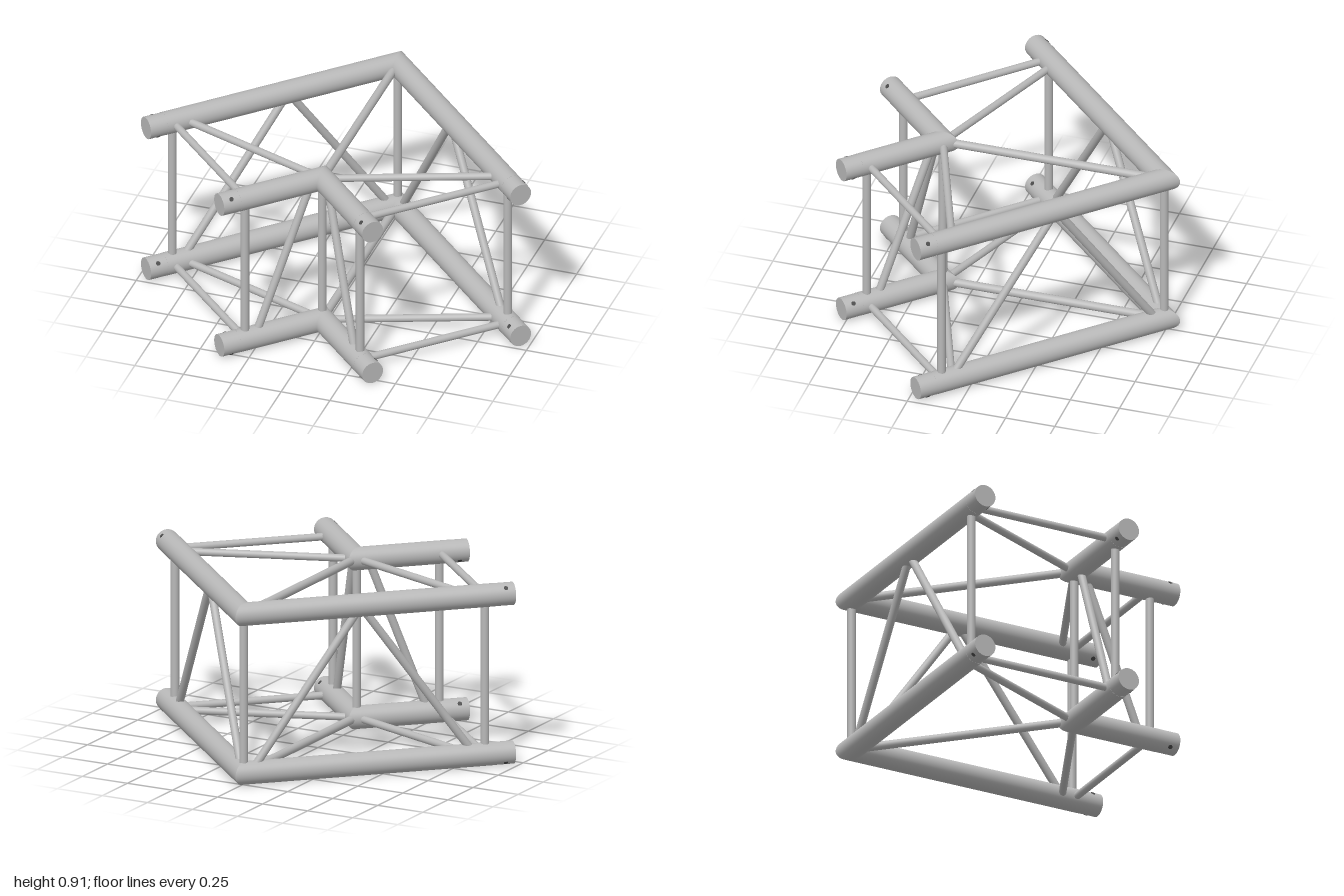
import * as THREE from 'three';

const R = 0.057;              // chord radius
const LOW = 0.057, HIGH = 0.857; // chord axis heights
const UP = new THREE.Vector3(0, 1, 0);

export function createModel() {
  const group = new THREE.Group();
  const metal = new THREE.MeshStandardMaterial({ color: 0xb8b8b8 });
  metal.name = 'aluminium';
  const dark = new THREE.MeshStandardMaterial({ color: 0x4a4a4a });
  dark.name = 'hole shadow';

  // Cylinder geometry running from a to b
  function rodGeometry(a, b, r, sides) {
    const d = b.clone().sub(a);
    const geo = new THREE.CylinderGeometry(r, r, d.length(), sides);
    geo.applyQuaternion(new THREE.Quaternion().setFromUnitVectors(UP, d.normalize()));
    const m = a.clone().add(b).multiplyScalar(0.5);
    return geo.translate(m.x, m.y, m.z);
  }
  function add(name, geo, material = metal) {
    const mesh = new THREE.Mesh(geo, material);
    mesh.name = name;
    group.add(mesh);
  }
  const rod = (name, a, b, r) => add(name, rodGeometry(a, b, r, 20));

  // Both chords leave the x = 0 plane at 45 degrees
  const OUTER = -0.74, INNER = 0.385;
  const at = (side, apex, x, y) => new THREE.Vector3(side * x, y, apex + x);

  // Main chord with a mitred corner, an end sleeve and a cross-drilled pin hole
  function chord(name, side, apex, endX, y, away) {
    const d = new THREE.Vector3(side, 0, 1).normalize();
    const seam = endX - 0.066;
    const start = at(side, apex, 0.12, y);
    const geo = rodGeometry(start, at(side, apex, seam, y), R, 40);
    const p = geo.attributes.position;
    const v = new THREE.Vector3();
    for (let i = 0; i < p.count; i++) {
      v.fromBufferAttribute(p, i);
      // slide the corner end along the axis onto the mitre plane
      if (v.clone().sub(start).dot(d) < 0.01) {
        v.addScaledVector(d, -v.x / d.x);
        p.setXYZ(i, v.x, v.y, v.z);
      }
    }
    add(name + 'Chord', geo);
    add(name + 'Sleeve', rodGeometry(at(side, apex, seam - 0.01, y), at(side, apex, endX, y), R - 0.0007, 40));

    const c = at(side, apex, endX - 0.033, y);
    const axis = new THREE.Vector3(side * away, y > 0.5 ? Math.SQRT2 : -Math.SQRT2, -away).normalize();
    const reach = R + 0.0005;
    add(name + 'PinHole', rodGeometry(c.clone().addScaledVector(axis, -reach),
      c.clone().addScaledVector(axis, reach), 0.011, 16), dark);
  }

  for (const side of [1, -1]) {
    for (const y of [LOW, HIGH]) {
      chord('outer', side, OUTER, 0.96, y, 1);
      chord('inner', side, INNER, 0.393, y, -1);
      // Horizontal bracing between the outer and inner chords
      rod('endBrace', at(side, OUTER, 0.86, y), at(side, INNER, 0.295, y), 0.0185);
      rod('fanBrace', at(side, OUTER, 0.82, y), new THREE.Vector3(0, y, INNER), 0.0185);
    }
    // Uprights near the open ends
    rod('outerUpright', at(side, OUTER, 0.86, LOW), at(side, OUTER, 0.86, HIGH), 0.021);
    rod('innerUpright', at(side, INNER, 0.295, LOW), at(side, INNER, 0.295, HIGH), 0.021);
    // Sloping side braces
    rod('outerDiagonal', at(side, OUTER, 0.825, LOW), at(side, OUTER, 0.415, HIGH), 0.02);
    rod('cornerDiagonal', at(side, OUTER, 0.025, LOW), at(side, OUTER, 0.42, HIGH), 0.02);
    rod('innerDiagonal', at(side, INNER, 0.257, LOW), at(side, INNER, 0.04, HIGH), 0.02);
  }

  // Corner uprights and the brace joining the two corners
  for (const z of [OUTER, INNER])
    rod('cornerUpright', new THREE.Vector3(0, LOW, z), new THREE.Vector3(0, HIGH, z), 0.021);
  for (const y of [LOW, HIGH])
    rod('centreBrace', new THREE.Vector3(0, y, OUTER), new THREE.Vector3(0, y, INNER), 0.021);

  return group;
}
